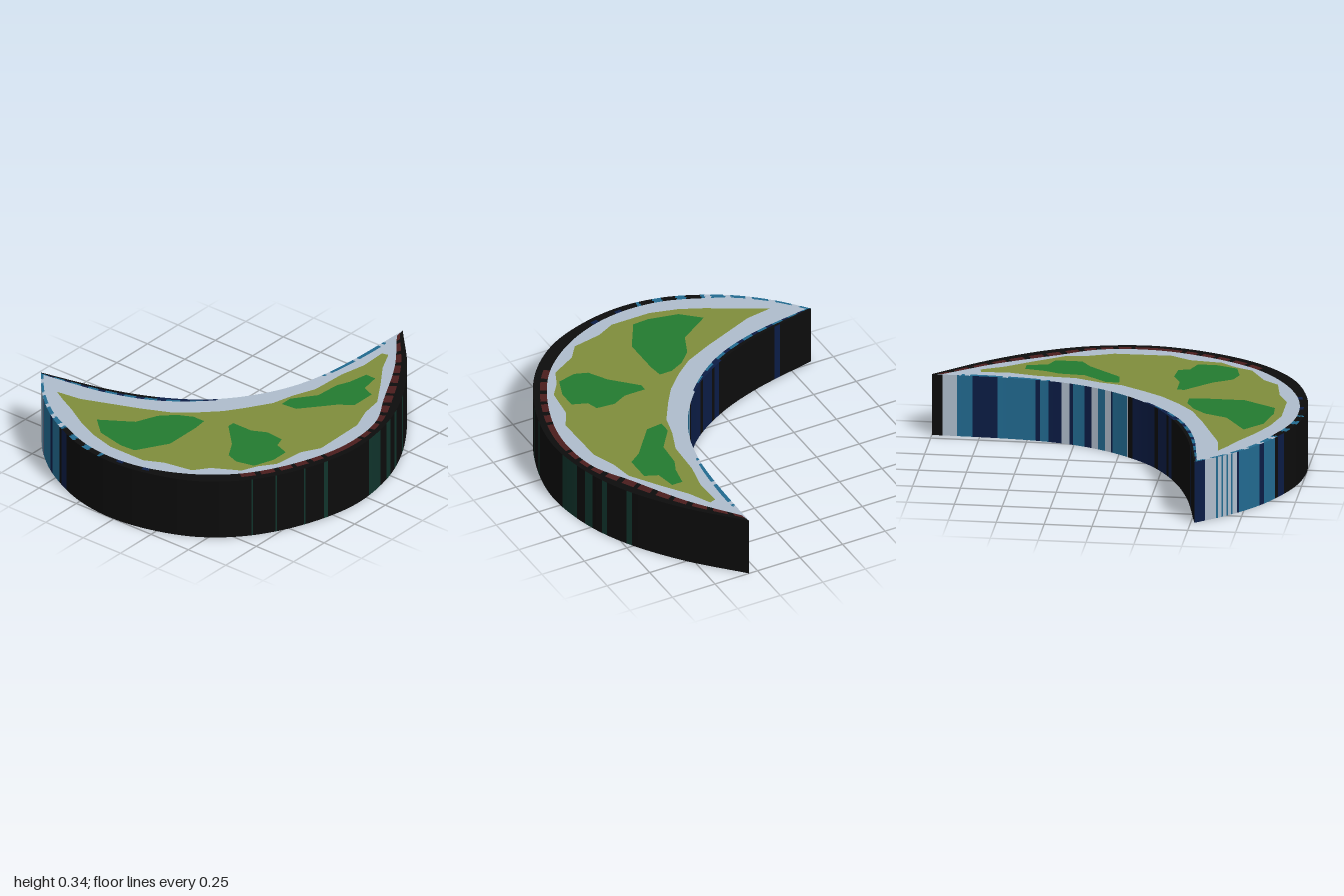
import * as THREE from 'three';

const H = 0.335;
const mat = (name, color) => {
  const m = new THREE.MeshStandardMaterial({ color });
  m.name = name;
  return m;
};

// Flat [x, z, x, z, ...] list to points
const pairs = (a) => {
  const out = [];
  for (let i = 0; i < a.length; i += 2) out.push(new THREE.Vector3(a[i], 0, a[i + 1]));
  return out;
};
// Evenly parametrised smooth line, so that matching lists stay side by side
const smooth = (a, n) => {
  const c = new THREE.CatmullRomCurve3(pairs(a), false, 'centripetal');
  return Array.from({ length: n + 1 }, (_, i) => c.getPoint(i / n));
};

// Crescent outline (convex and concave sides) and the pale border just inside it
const OUTER = [-.88, .52, -.75, .67, -.6, .8, -.45, .89, -.25, .97, -.03, 1, .2, .97, .45, .87,
  .65, .69, .8, .42, .875, .1, .84, -.2, .74, -.45, .55, -.73, .3, -1];
const OUTER_RIM = [-.855, .53, -.74, .66, -.585, .785, -.43, .865, -.23, .94, -.03, .96, .18, .925, .4, .82,
  .59, .65, .735, .39, .81, .1, .785, -.18, .665, -.4, .5, -.69, .31, -.94];
const INNER = [-.88, .52, -.5, .43, -.25, .33, -.04, .19, .12, 0, .22, -.2, .27, -.4, .29, -.6, .297, -.8, .3, -1];
const INNER_RIM = [-.855, .53, -.49, .465, -.24, .365, -.03, .2, .125, .005, .225, -.195, .285, -.4,
  .31, -.6, .318, -.8, .31, -.94];
// Olive field and its green patches
const FIELD = [-.69, .62, -.55, .6, -.45, .56, -.25, .48, -.1, .41, 0, .33, .1, .23, .17, .13, .25, 0,
  .28, -.12, .33, -.25, .34, -.45, .37, -.6, .365, -.75, .4, -.76, .46, -.64, .56, -.5, .66, -.35,
  .68, -.23, .73, -.1, .735, .2, .68, .3, .66, .47, .6, .55, .56, .64, .42, .72, .36, .8, .2, .83,
  .1, .88, -.12, .88, -.27, .84, -.4, .78, -.52, .71, -.62, .66];
const PATCHES = [
  [.44, -.53, .5, -.53, .52, -.42, .59, -.39, .59, -.25, .52, -.2, .38, -.03, .29, -.02, .29, -.09,
    .38, -.21, .39, -.35, .42, -.42],
  [.22, .33, .22, .29, .34, .29, .42, .25, .52, .26, .54, .32, .62, .35, .62, .45, .58, .56, .48, .585,
    .41, .56, .35, .46],
  [.02, .37, .09, .37, .1, .45, .1, .66, 0, .83, -.09, .835, -.25, .8, -.35, .71, -.18, .6, -.13, .48, -.06, .41],
];

// Colour stripes as [end, colour] along a wall
const OUTER_X = [[-.84, 'navy'], [-.795, 'pale'], [-.787, 'blue'], [-.772, 'pale'], [-.764, 'blue'],
  [-.75, 'pale'], [-.742, 'blue'], [-.728, 'pale'], [-.72, 'blue'], [-.7, 'pale'], [-.69, 'navy'],
  [-.57, 'blue'], [-.54, 'navy'], [-.455, 'blue'], [-.43, 'black'], [-.38, 'navy'], [9, 'black']];
const OUTER_Z = [[-.49, 'black'], [-.465, 'teal'], [-.35, 'black'], [-.32, 'teal'], [-.26, 'black'],
  [-.205, 'teal'], [-.14, 'black'], [-.02, 'teal'], [.275, 'black'], [.305, 'teal'], [.415, 'black'],
  [.421, 'teal'], [.565, 'black'], [.571, 'teal'], [.67, 'black'], [.676, 'teal'], [9, 'black']];
const INNER_S = [[.02, 'black'], [.05, 'pale'], [.08, 'blue'], [.13, 'navy'], [.21, 'blue'], [.22, 'navy'],
  [.24, 'blue'], [.27, 'navy'], [.29, 'pale'], [.3, 'navy'], [.33, 'blue'], [.35, 'navy'], [.37, 'pale'],
  [.39, 'blue'], [.41, 'pale'], [.415, 'navy'], [.465, 'blue'], [.47, 'pale'], [.485, 'black'],
  [.58, 'navy'], [.6, 'black'], [.65, 'navy'], [.665, 'black'], [.685, 'navy'], [.89, 'black'],
  [.905, 'navy'], [9, 'black']];
const find = (list, v) => list.find(([end]) => v < end)[1];

const outerWall = (p) => (p.x < 0 ? find(OUTER_X, p.x) : find(OUTER_Z, p.z));
const innerWall = (p) => find(INNER_S, (p.z - p.x + 1.3) / 2.7);

// Broken colour edging of the flat faces
const dash = (v, period, share) => ((v % period) + period) % period < period * share;
const outerEdge = (p) => {
  if (p.x < -.45) return dash(p.x, .09, .7) ? 'blue' : 'pale';
  if (p.x < -.1 && p.z > .5) return dash(p.x, .12, .4) ? 'blue' : 'black';
  return 'black';
};
const outerEdgeInside = (p) => {
  if (p.x < -.1 && p.z > .5) return outerEdge(p);
  if (p.x < .3 && p.z > .5) return dash(p.x, .15, .25) ? 'navy' : 'black';
  if (p.z > 0 && p.z < .24) return 'red';
  return p.z < .72 && dash(p.z, .09, .7) ? 'red' : 'black';
};
const innerEdge = (p) => {
  if (p.z < -.85) return 'pale';
  if (p.z < -.38) return dash(p.z, .2, .85) ? 'blue' : 'pale';
  if (p.x < -.25) return 'black';
  return p.x < 0 ? 'navy' : 'pale';
};
const innerEdgeInside = (p) => {
  if (p.x > -.05) return innerEdge(p);
  return dash(p.x, .1, .6) ? 'blue' : 'navy';
};

export function createModel() {
  const group = new THREE.Group();
  const mats = {
    black: mat('black', 0x0c0c0c), teal: mat('dark teal', 0x10332b), navy: mat('navy', 0x0b1c45),
    blue: mat('blue', 0x21698f), pale: mat('pale blue grey', 0xaebccb), olive: mat('olive', 0x7f8d3c),
    green: mat('green', 0x237a30), red: mat('dark red', 0x4a1d1d),
  };

  // Ribbon between two lines, split into one mesh per colour
  const ribbon = (name, a, b, normals, pick) => {
    const bins = {};
    for (let i = 0; i < a.length - 1; i++) {
      const key = pick(a[i].clone().add(a[i + 1]).multiplyScalar(.5));
      const bin = (bins[key] ??= { pos: [], nor: [] });
      const face = b[i + 1].clone().sub(a[i]).cross(b[i].clone().sub(a[i + 1]));
      const front = face.dot(normals[i]) > 0;
      const corners = [[a, i], [b, i + 1], [b, i], [a, i], [a, i + 1], [b, i + 1]];
      for (const [line, j] of front ? corners.reverse() : corners) {
        bin.pos.push(...line[j].toArray());
        bin.nor.push(...normals[j].toArray());
      }
    }
    for (const key in bins) {
      const g = new THREE.BufferGeometry();
      g.setAttribute('position', new THREE.Float32BufferAttribute(bins[key].pos, 3));
      g.setAttribute('normal', new THREE.Float32BufferAttribute(bins[key].nor, 3));
      const mesh = new THREE.Mesh(g, mats[key].clone === undefined ? null : mats[key]);
      mats[key].side = THREE.DoubleSide;
      mesh.name = `${name} ${key}`;
      group.add(mesh);
    }
  };
  const at = (line, y) => line.map((p) => new THREE.Vector3(p.x, y, p.z));

  // Flat plate on the top or the bottom face
  const plate = (name, pts, holes, key, top) => {
    const flat = (l) => l.map((p) => new THREE.Vector2(p.x, top ? -p.z : p.z));
    const shape = new THREE.Shape(flat(pts));
    shape.holes = holes.map((h) => new THREE.Path(flat(h)));
    const g = new THREE.ShapeGeometry(shape).rotateX(top ? -Math.PI / 2 : Math.PI / 2);
    const mesh = new THREE.Mesh(g, mats[key]);
    mesh.position.y = top ? H : 0;
    mesh.name = `${top ? 'top' : 'bottom'} ${name}`;
    group.add(mesh);
  };

  const N = 560;
  const sides = [
    { name: 'outer', line: smooth(OUTER, N), rim: smooth(OUTER_RIM, N), sign: 1,
      wall: outerWall, edge: outerEdge, inside: outerEdgeInside },
    { name: 'inner', line: smooth(INNER, N), rim: smooth(INNER_RIM, N), sign: -1,
      wall: innerWall, edge: innerEdge, inside: innerEdgeInside },
  ];
  for (const s of sides) {
    // Upright striped wall
    const normals = s.line.map((_, i) => {
      const t = s.line[Math.min(i + 1, N)].clone().sub(s.line[Math.max(i - 1, 0)]).normalize();
      return new THREE.Vector3(-t.z * s.sign, 0, t.x * s.sign);
    });
    ribbon(`${s.name} wall`, at(s.line, 0), at(s.line, H), normals, s.wall);
    // Edging of the two flat faces
    const mid = s.line.map((p, i) => p.clone().lerp(s.rim[i], .5));
    for (const [y, ny] of [[0, -1], [H, 1]]) {
      const up = s.line.map(() => new THREE.Vector3(0, ny, 0));
      ribbon(`${s.name} edge`, at(s.line, y), at(mid, y), up, s.edge);
      ribbon(`${s.name} edge inside`, at(mid, y), at(s.rim, y), up, s.inside);
    }
  }

  // Pale border, olive field and green patches, fitted edge to edge
  const border = [...sides[0].rim, ...sides[1].rim.slice(1, -1).reverse()];
  const field = pairs(FIELD);
  const patches = PATCHES.map(pairs);
  for (const top of [true, false]) {
    plate('border', border, [field], 'pale', top);
    plate('field', field, patches, 'olive', top);
    patches.forEach((p, i) => plate(`patch ${i + 1}`, p, [], 'green', top));
  }
  return group;
}
